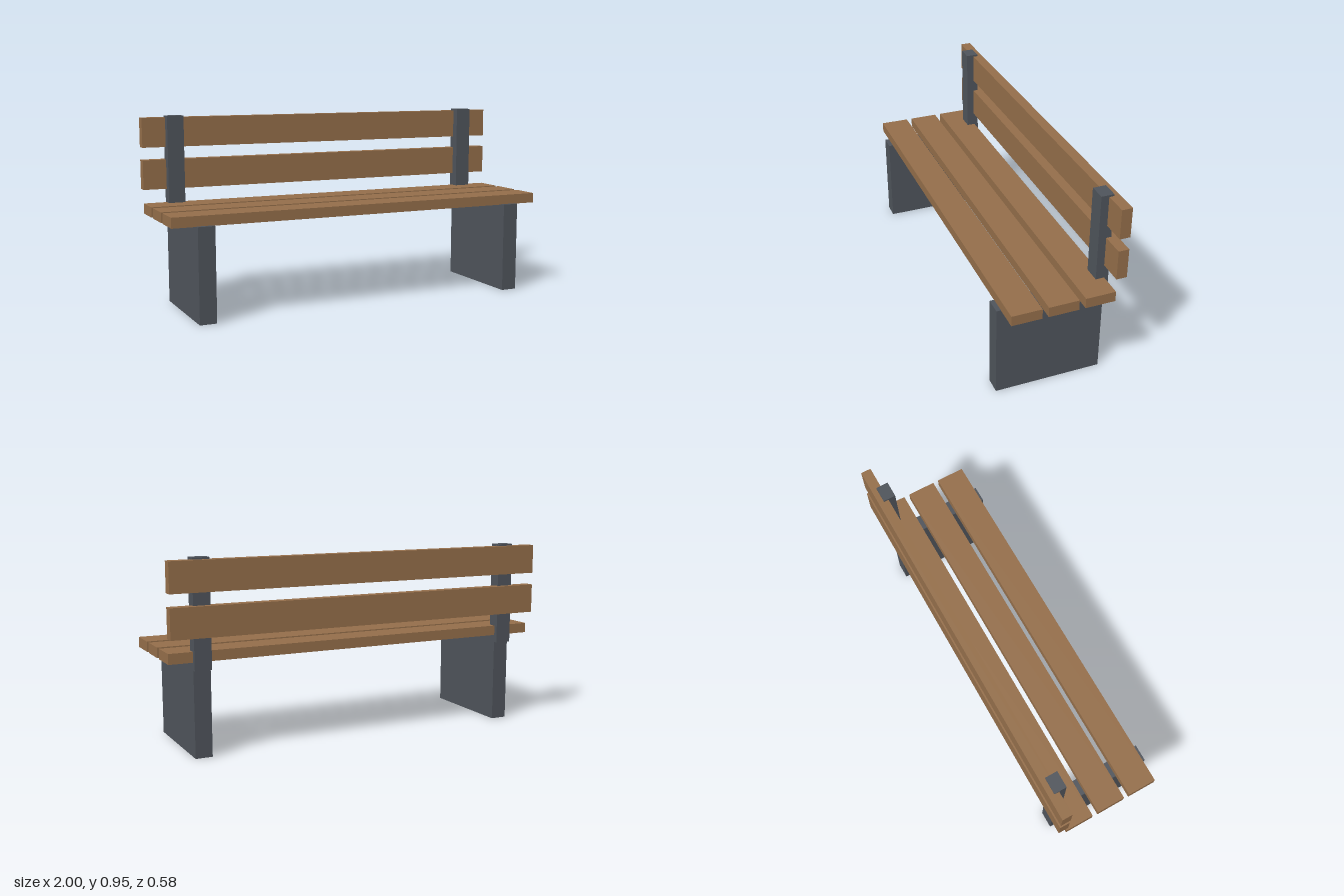
import * as THREE from 'three';

const wood = new THREE.MeshStandardMaterial({ color: 0x946e4a });
wood.name = 'wood brown';
const metal = new THREE.MeshStandardMaterial({ color: 0x4f545b });
metal.name = 'slate grey';

// Box given by its x, y and z extents
function box(name, material, [x0, x1], [y0, y1], [z0, z1]) {
  const mesh = new THREE.Mesh(new THREE.BoxGeometry(x1 - x0, y1 - y0, z1 - z0), material);
  mesh.position.set((x0 + x1) / 2, (y0 + y1) / 2, (z0 + z1) / 2);
  mesh.name = name;
  return mesh;
}

export function createModel() {
  const bench = new THREE.Group();
  bench.name = 'bench';
  const full = [-1, 1];

  // Three seat planks, front to back
  [0.192, 0.014, -0.165].forEach((z, i) => {
    bench.add(box(`seatPlank${i + 1}`, wood, full, [0.461, 0.512], [z - 0.074, z + 0.074]));
  });

  // Two backrest planks fixed behind the posts
  [0.654, 0.865].forEach((y, i) => {
    bench.add(box(`backPlank${i + 1}`, wood, full, [y - 0.074, y + 0.074], [-0.287, -0.235]));
  });

  // Slab leg and backrest post on each side
  for (const [side, x] of [['left', 0.84], ['right', -0.84]]) {
    const span = [x - 0.042, x + 0.042];
    bench.add(box(`${side}Leg`, metal, span, [0, 0.463], [-0.239, 0.288]));
    bench.add(box(`${side}Post`, metal, span, [0.423, 0.948], [-0.26, -0.197]));
  }
  return bench;
}
